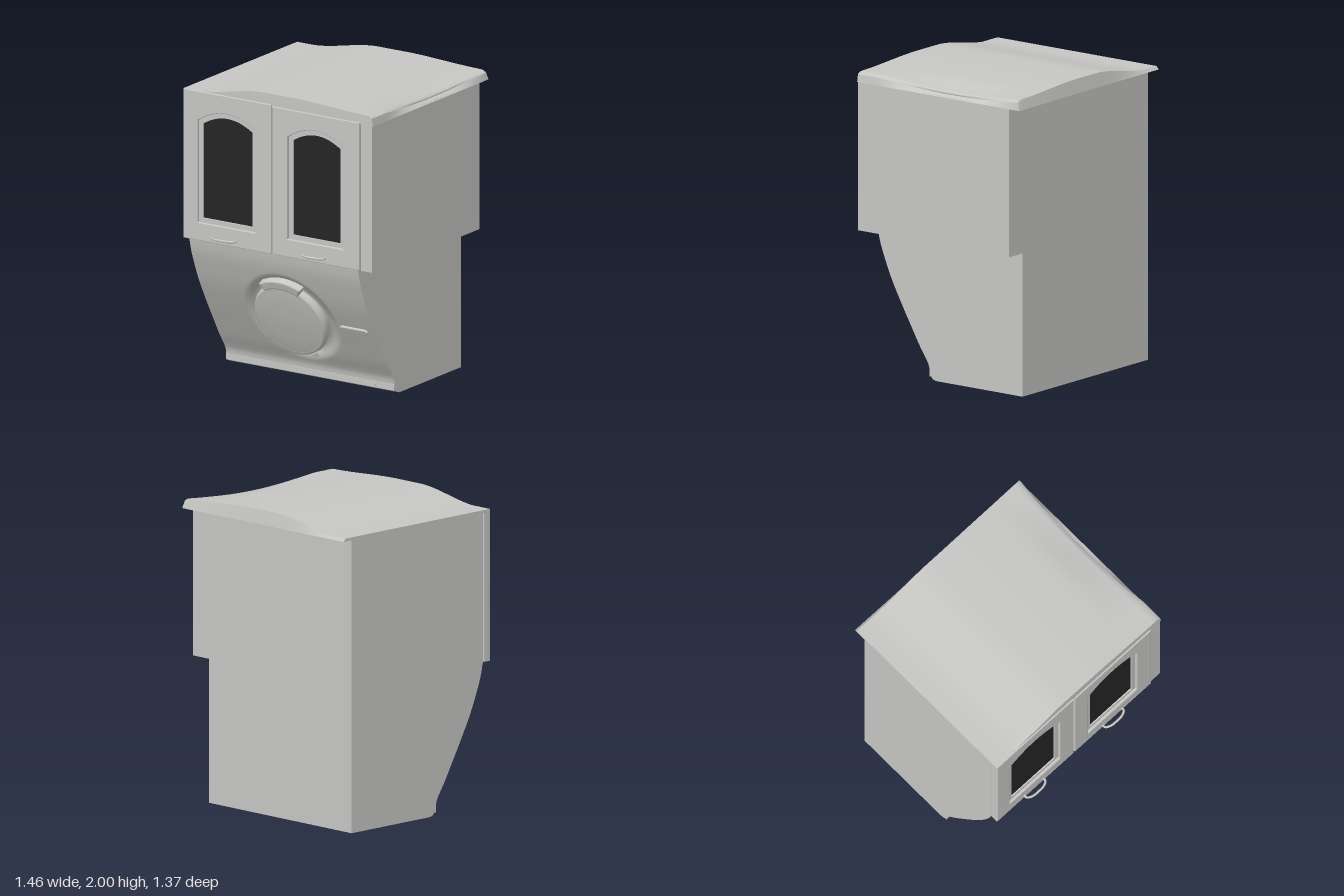
import * as THREE from 'three';

const { smoothstep } = THREE.MathUtils;
const shell = new THREE.MeshStandardMaterial({ name: 'grey shell', color: 0xc6c6c4 });
const glass = new THREE.MeshStandardMaterial({ name: 'dark glass', color: 0x242424 });

function part(parent, name, geometry, material = shell) {
  const mesh = new THREE.Mesh(geometry, material);
  mesh.name = name;
  parent.add(mesh);
  return mesh;
}

// Box given by its limits on each axis
function box(x0, x1, y0, y1, z0, z1) {
  return new THREE.BoxGeometry(x1 - x0, y1 - y0, z1 - z0)
    .translate((x0 + x1) / 2, (y0 + y1) / 2, (z0 + z1) / 2);
}

// Rectangle with a curved top edge
function arch(x0, x1, y0, ySide, yTop, Type = THREE.Shape) {
  const s = new Type();
  s.moveTo(x0, y0);
  s.lineTo(x1, y0);
  s.lineTo(x1, ySide);
  s.quadraticCurveTo((x0 + x1) / 2, 2 * yTop - ySide, x0, ySide);
  s.closePath();
  return s;
}

function extrude(shape, depth, bevel = 0) {
  return new THREE.ExtrudeGeometry(shape, {
    depth, curveSegments: 20, bevelEnabled: bevel > 0,
    bevelSize: bevel, bevelThickness: bevel, bevelOffset: -bevel, bevelSegments: 2,
  });
}

// Curved front profile as (z, y), from the floor upwards
const profile = new THREE.SplineCurve([
  [0.10, 0], [0.135, 0.015], [0.15, 0.06], [0.165, 0.11], [0.23, 0.21], [0.30, 0.33],
  [0.38, 0.47], [0.46, 0.62], [0.52, 0.76], [0.552, 0.85], [0.573, 0.94],
].map(([z, y]) => new THREE.Vector2(z, y)));

// Slice of the lower body between two x limits, its front set back by inset
function bodySlice(x0, x1, inset) {
  const s = new THREE.Shape();
  s.moveTo(-0.6, 0);
  for (const p of profile.getSpacedPoints(40)) s.lineTo(p.x - inset, p.y);
  s.lineTo(-0.6, 0.94);
  return extrude(s, x1 - x0).rotateY(-Math.PI / 2).translate(x1, 0, 0);
}

function lowerBody() {
  const g = new THREE.Group();
  g.name = 'washer';
  const x0 = -0.72, x1 = 0.578;
  part(g, 'bodyCore', bodySlice(x0 + 0.012, x1 - 0.012, 0.045));
  part(g, 'rightSide', bodySlice(x0, x0 + 0.012, 0));
  part(g, 'leftSide', bodySlice(x1 - 0.012, x1, 0));

  // Front panel with a shallow dish around the round door
  const panel = new THREE.PlaneGeometry(x1 - x0, 1, 90, 80);
  const pos = panel.attributes.position;
  for (let i = 0; i < pos.count; i++) {
    const x = pos.getX(i) + (x0 + x1) / 2;
    const p = profile.getPointAt(THREE.MathUtils.clamp(pos.getY(i) + 0.5, 0, 1));
    const r = Math.hypot(x + 0.055, (p.y - 0.46) * 1.1);
    const dish = 0.032 * (1 - smoothstep(r, 0.27, 0.355));
    pos.setXYZ(i, x, p.y + dish * 0.45, p.x - dish * 0.9);
  }
  panel.computeVertexNormals();
  part(g, 'frontPanel', panel);

  // Round door
  const door = new THREE.Group();
  door.name = 'roundDoor';
  door.position.set(-0.06, 0.44, 0.41);
  door.rotation.x = 0.376;
  g.add(door);
  const rim = [[0.25, -0.11], [0.268, -0.05], [0.27, -0.025], [0.262, -0.008], [0.25, 0],
    [0.243, -0.004], [0.235, 0], [0.15, 0.008], [0, 0.012]];
  part(door, 'doorDisc', new THREE.LatheGeometry(
    rim.map(([r, h]) => new THREE.Vector2(r, h)), 64).rotateX(Math.PI / 2));

  // Curved grip over the door
  const grip = new THREE.Shape();
  grip.absarc(0, 0, 0.318, Math.PI / 2 - 0.52, Math.PI / 2 + 0.52, false);
  grip.absarc(0, 0, 0.255, Math.PI / 2 + 0.52, Math.PI / 2 - 0.52, true);
  part(door, 'doorGrip', extrude(grip, 0.05, 0.01).translate(0, 0, -0.045));
  part(door, 'doorLatch', new THREE.BoxGeometry(0.055, 0.03, 0.05))
    .position.set(0.15, -0.235, -0.02);
  door.children[2].rotation.z = 0.5;

  // Pill-shaped control strip
  const pill = new THREE.Shape();
  pill.absarc(0.085, 0, 0.022, -Math.PI / 2, Math.PI / 2, false);
  pill.absarc(-0.085, 0, 0.022, Math.PI / 2, Math.PI * 1.5, false);
  const strip = part(g, 'controlStrip', extrude(pill, 0.02, 0.005));
  strip.position.set(0.415, 0.455, 0.36);
  strip.rotation.x = 0.5;

  // Kick strip and its small catch
  part(g, 'kickStrip', box(x0, x1 - 0.005, 0.022, 0.065, 0.1, 0.155));
  part(g, 'kickCatch', box(0.365, 0.435, 0.03, 0.05, 0.14, 0.162));
  return g;
}

// Cabinet door: frame, stepped moulding, arched window, bow handle
function cabinetDoor(name, x0, x1, top, w0, w1, handleX) {
  const g = new THREE.Group();
  g.name = name;
  const slab = new THREE.Shape([[x0, 0.94], [x1, 0.94], [x1, top], [x0, top]]
    .map(([x, y]) => new THREE.Vector2(x, y)));
  slab.holes.push(arch(w0 - 0.032, w1 + 0.032, 1.06, 1.735, 1.81, THREE.Path));
  part(g, 'doorFrame', extrude(slab, 0.045, 0.005).translate(0, 0, 0.58));
  const ring = arch(w0 - 0.04, w1 + 0.04, 1.05, 1.735, 1.815);
  ring.holes.push(arch(w0, w1, 1.09, 1.715, 1.775, THREE.Path));
  part(g, 'windowMoulding', extrude(ring, 0.032).translate(0, 0, 0.58));
  part(g, 'windowPane', extrude(arch(w0 - 0.005, w1 + 0.005, 1.085, 1.718, 1.78), 0.008)
    .translate(0, 0, 0.594), glass);

  const bow = new THREE.CatmullRomCurve3([[-0.08, 0.615], [-0.083, 0.65], [-0.05, 0.67],
    [0, 0.674], [0.05, 0.67], [0.083, 0.65], [0.08, 0.615]]
    .map(([x, z]) => new THREE.Vector3(handleX + x, 0.98, z)));
  part(g, 'handle', new THREE.TubeGeometry(bow, 32, 0.008, 8));
  for (const s of [-1, 1]) {
    part(g, 'handleFoot', new THREE.CylinderGeometry(0.014, 0.014, 0.008, 12).rotateX(Math.PI / 2))
      .position.set(handleX + s * 0.08, 0.98, 0.627);
  }
  return g;
}

function upperCabinet() {
  const g = new THREE.Group();
  g.name = 'cabinet';
  part(g, 'carcass', box(-0.72, 0.72, 0.938, 1.915, -0.6, 0.578));
  part(g, 'fillerStrip', box(0.637, 0.72, 0.938, 1.915, 0.57, 0.618));
  g.add(cabinetDoor('rightDoor', -0.727, -0.05, 1.93, -0.585, -0.205, -0.405));
  g.add(cabinetDoor('leftDoor', -0.042, 0.63, 1.92, 0.107, 0.475, 0.285));

  // Wavy worktop: low on the right, dipping along the left edge
  const top = new THREE.BoxGeometry(1.456, 0.09, 1.3, 48, 3, 40);
  const pos = top.attributes.position;
  for (let i = 0; i < pos.count; i++) {
    let x = pos.getX(i), z = pos.getZ(i) - 0.03;
    const t = pos.getY(i) / 0.09 + 0.5;
    const dip = Math.max(0, Math.cos((z + 0.1) * 2.8));
    const height = 1.93 + 0.07 * smoothstep(x, -0.62, -0.1) - 0.025 * smoothstep(x, 0.1, 0.7)
      - 0.035 * dip * smoothstep(x, 0.45, 0.73) - 0.015 * smoothstep(x, 0.69, 0.728);
    if (x > 0.7) x -= t * (0.008 + 0.03 * dip) * smoothstep(x, 0.69, 0.728);
    z += 0.018 * t * smoothstep(-z, 0.62, 0.68);
    z -= 0.01 * smoothstep(-z, 0.5, 0.68) * smoothstep(x, 0, 0.73);
    pos.setXYZ(i, x, 1.91 + (height - 1.91) * t, z);
  }
  top.computeVertexNormals();
  part(g, 'worktop', top);
  return g;
}

export function createModel() {
  const model = new THREE.Group();
  model.name = 'washerCabinet';
  model.add(lowerBody(), upperCabinet());
  return model;
}
